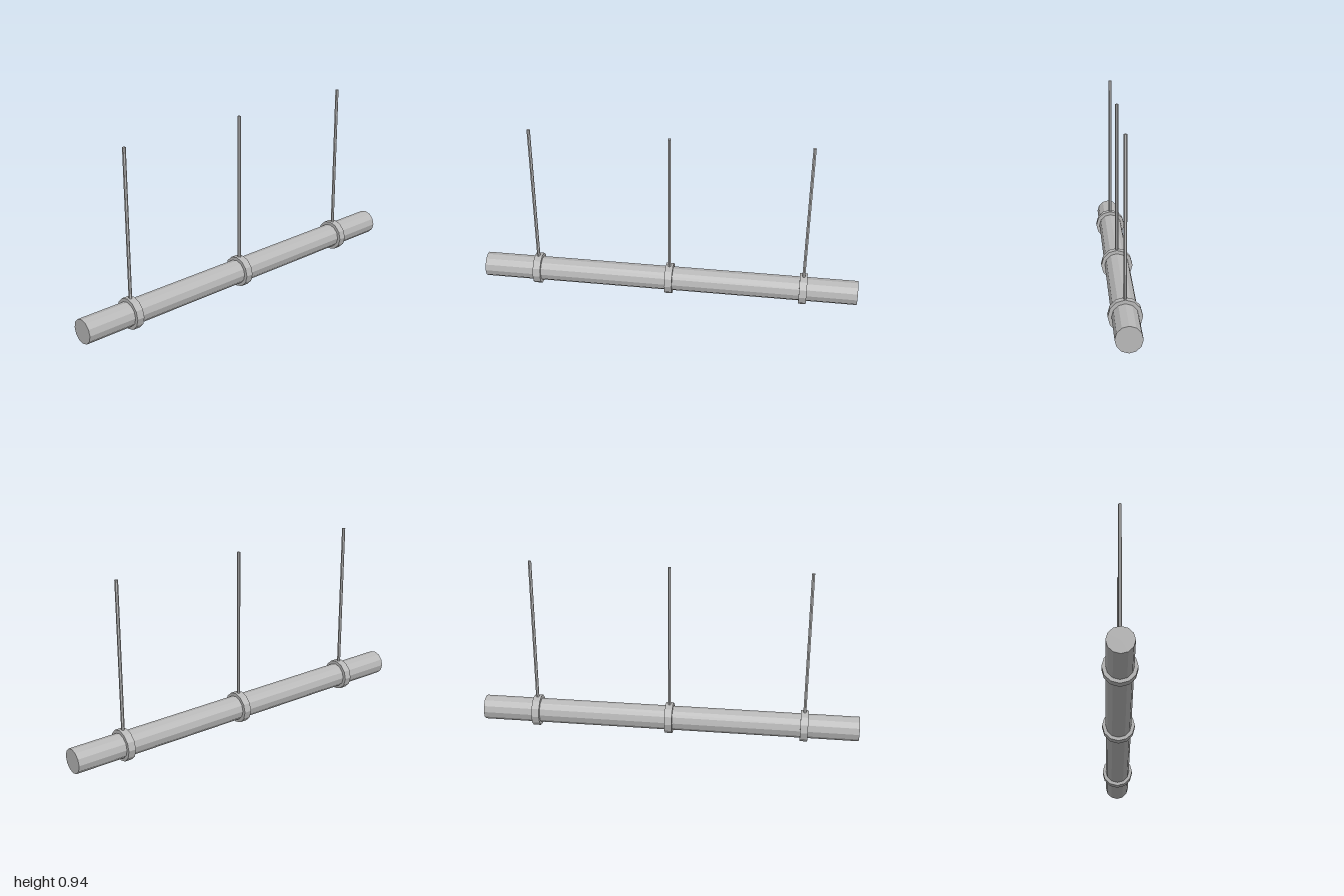
import * as THREE from 'three';

export function createModel() {
  const group = new THREE.Group();
  const steel = new THREE.MeshStandardMaterial({ color: 0xb8b8b8, flatShading: true });
  steel.name = 'galvanised grey';

  const axisY = 0.082;      // height of the pipe's centre line
  const collarRadius = 0.082;
  const rodTop = 0.938;

  const add = (name, geometry, x, y) => {
    const mesh = new THREE.Mesh(geometry, steel);
    mesh.name = name;
    mesh.position.set(x, y, 0);
    group.add(mesh);
  };

  // Twelve-sided cylinder lying along x
  const lying = (radius, length) =>
    new THREE.CylinderGeometry(radius, radius, length, 12).rotateZ(Math.PI / 2);

  // Main pipe
  add('pipe', lying(0.064, 2), 0, axisY);

  // Clamp collars, each hung from a hexagonal rod
  const collar = lying(collarRadius, 0.04);
  const rodBottom = axisY + collarRadius - 0.004;
  const rodLength = rodTop - rodBottom;
  const rod = new THREE.CylinderGeometry(0.0088, 0.0088, rodLength, 6);
  for (const x of [-0.714, 0, 0.714]) {
    add('clampCollar', collar, x, axisY);
    add('hangerRod', rod, x, rodBottom + rodLength / 2);
  }

  return group;
}
